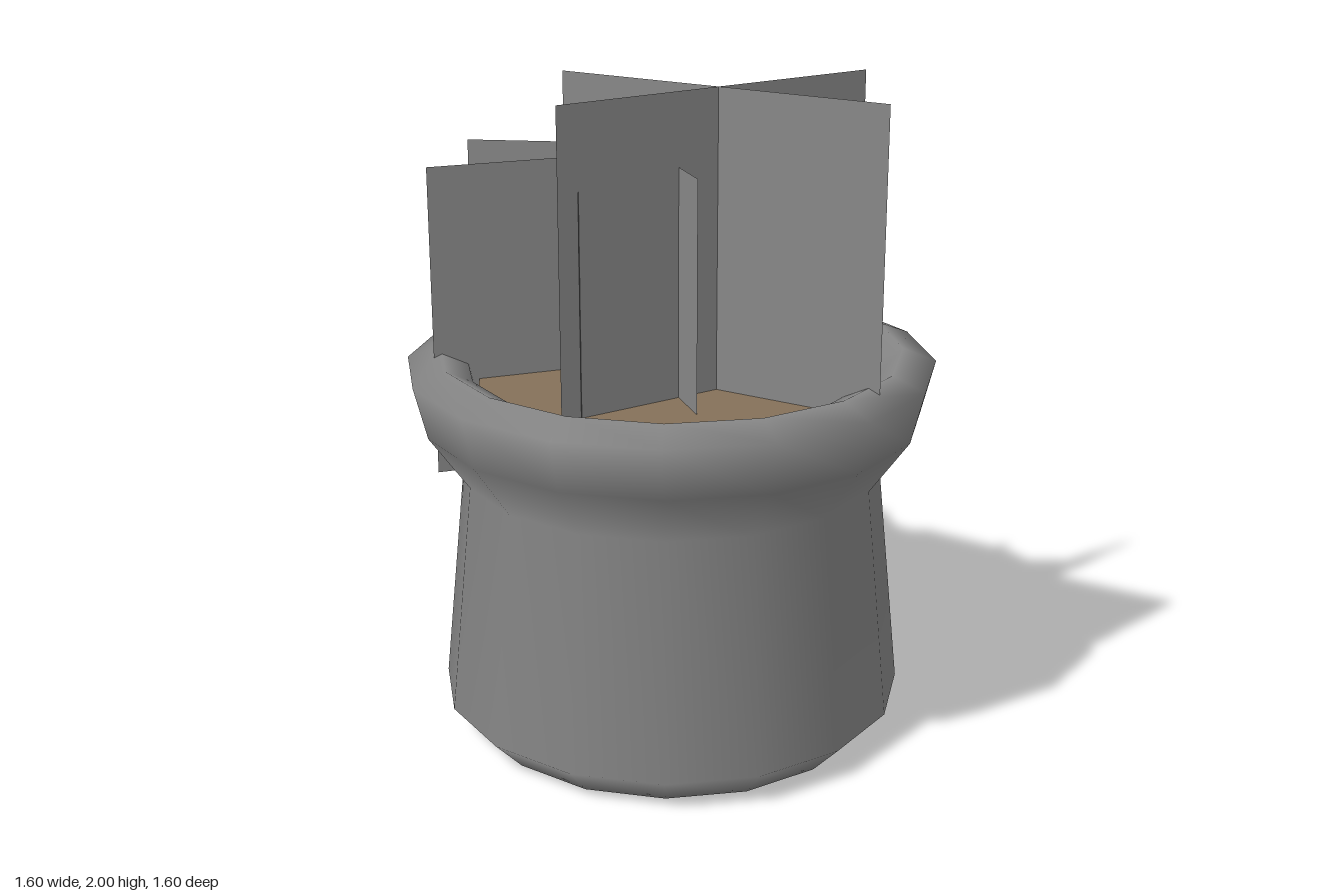
import * as THREE from 'three';

export function createModel() {
  const model = new THREE.Group();
  const grey = new THREE.MeshStandardMaterial({ color: 0x888888, side: THREE.DoubleSide });
  grey.name = 'grey';
  const brown = new THREE.MeshStandardMaterial({ color: 0x857159, side: THREE.DoubleSide });
  brown.name = 'soilBrown';

  const add = (parent, name, geometry, material) => {
    const mesh = new THREE.Mesh(geometry, material);
    mesh.name = name;
    parent.add(mesh);
    return mesh;
  };

  // Pot: sixteen-sided turned shell with a rolled rim
  const profile = [
    [0.04, 0], [0.62, 0], [0.715, 0.1], [0.64, 0.82], [0.76, 0.99],
    [0.8, 1.15], [0.7, 1.19], [0.62, 1.15], [0.595, 1.04],
  ].map(([r, y]) => new THREE.Vector2(r, y));
  add(model, 'pot', new THREE.LatheGeometry(profile, 16), grey);

  // Small disc closing the drain hole underneath
  add(model, 'drainDisc', new THREE.CircleGeometry(0.043, 16).rotateX(Math.PI / 2), grey);

  // Soil: fourteen-sided disc just below the rim
  const soil = add(model, 'soil',
    new THREE.CircleGeometry(0.595, 14, Math.PI / 2).rotateX(-Math.PI / 2), brown);
  soil.position.y = 1.1;

  // Plants: pairs of crossed upright cards, angles in degrees from +x towards +z
  const plants = [
    { name: 'tallPlant', x: 0.195, z: 0, half: 0.533, bottom: 1.015, top: 2, angles: [-15.2, 99.8] },
    { name: 'middlePlant', x: -0.155, z: -0.018, half: 0.523, bottom: 0.82, top: 1.785, angles: [24.8, 139.8] },
    { name: 'smallPlant', x: -0.22, z: 0.105, half: 0.51, bottom: 0.815, top: 1.757, angles: [-66.4, 46.5] },
  ];
  for (const p of plants) {
    const plant = new THREE.Group();
    plant.name = p.name;
    plant.position.set(p.x, (p.bottom + p.top) / 2, p.z);
    for (const angle of p.angles) {
      const card = add(plant, 'leafCard', new THREE.PlaneGeometry(p.half * 2, p.top - p.bottom), grey);
      card.rotation.y = -THREE.MathUtils.degToRad(angle);
    }
    model.add(plant);
  }
  return model;
}
